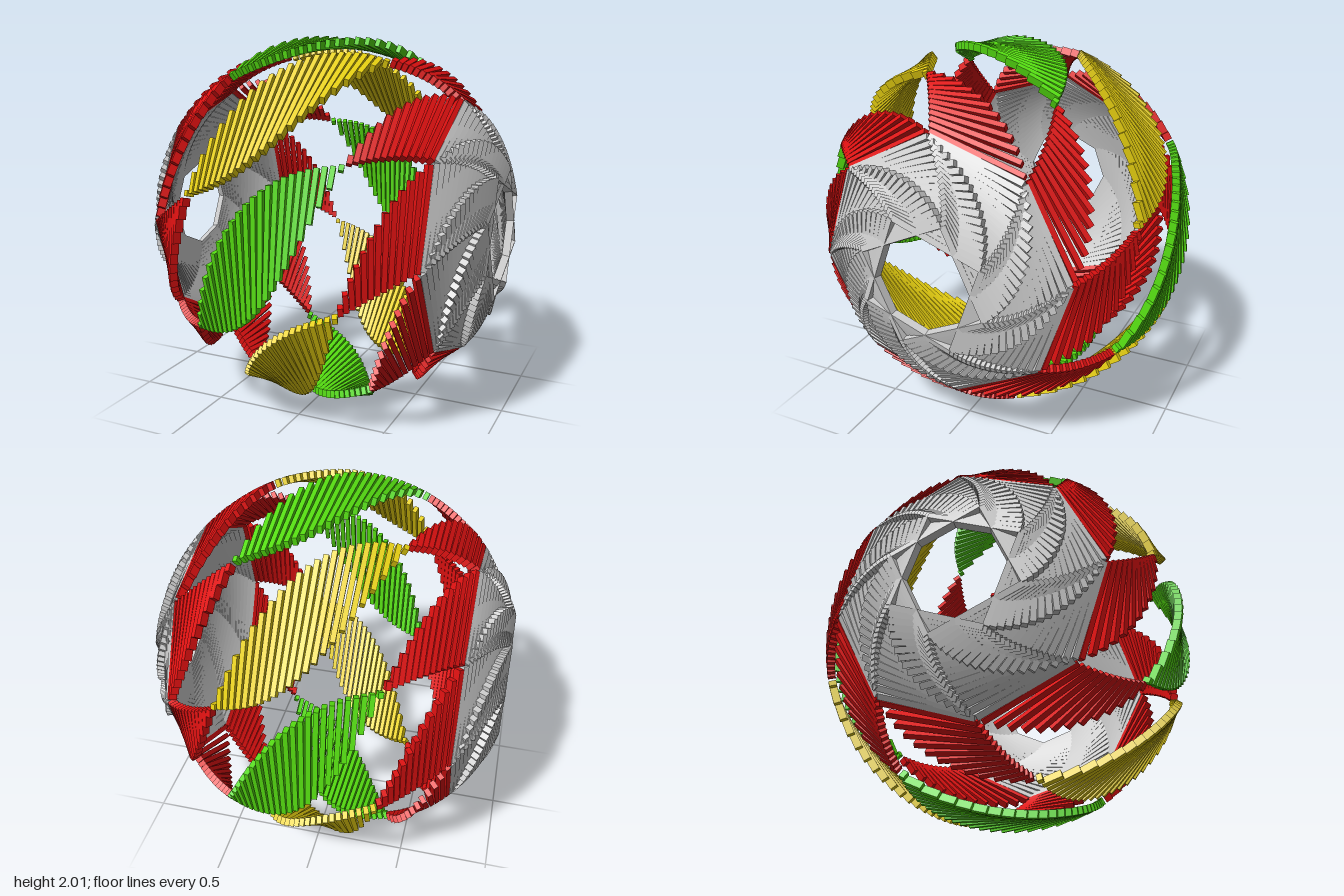
import * as THREE from 'three';
import { mergeGeometries } from 'three/addons/utils/BufferGeometryUtils.js';

const DEG = Math.PI / 180;
const lerp = THREE.MathUtils.lerp;
const THICK = 0.042;

// Point on the unit ball: x along the axis, angle measured from +z towards +y
function onBall(x, deg) {
  const r = Math.sqrt(1 - x * x);
  return new THREE.Vector3(x, r * Math.sin(deg * DEG), r * Math.cos(deg * DEG));
}

// Straight bar between two points, its thickness facing outward
function slat(a, b, width) {
  const along = b.clone().sub(a);
  const length = along.length();
  along.normalize();
  const mid = a.clone().add(b).multiplyScalar(0.5);
  const out = mid.clone().addScaledVector(along, -mid.dot(along)).normalize();
  const side = new THREE.Vector3().crossVectors(along, out);
  const geo = new THREE.BoxGeometry(Math.max(length, 0.03), THICK, width);
  const m = new THREE.Matrix4().makeBasis(along, out, side).setPosition(mid);
  return geo.applyMatrix4(m);
}

// Fan of slats whose ends follow two edge curves
function fan(count, width, ends) {
  const parts = [];
  for (let i = 0; i < count; i++) {
    const [a, b] = ends(i / (count - 1));
    parts.push(slat(a, b, width));
  }
  return mergeGeometries(parts);
}

export function createModel() {
  const model = new THREE.Group();
  const ball = new THREE.Group();
  ball.name = 'slattedBall';
  ball.position.y = 1;
  model.add(ball);

  const mat = (color) => new THREE.MeshStandardMaterial({ color, flatShading: true });
  const green = mat(0x55dd11), yellow = mat(0xe6cf10), red = mat(0xdd1111), grey = mat(0xcccccc);

  // Joint ring (leaf tips) and crown ring (red meets grey)
  const jointX = 0.4, jointA = 29, crownX = 0.73, crownA = 40.5;

  // Equatorial leaf, tilted lens of parallel slats
  const edge = (s) => jointA * s + 16.5 * (1 - s * s) * (1 - 0.3 * s);
  const leafGeo = fan(24, 0.026, (t) => {
    const s = lerp(-0.98, 0.98, t);
    return [onBall(jointX * s, -edge(-s)), onBall(jointX * s, edge(s))];
  });

  // Triangle opening from a joint to the crown ring
  const triangleGeo = fan(13, 0.027, (t) => {
    const u = lerp(0.06, 0.97, t);
    const x = lerp(jointX, crownX, u);
    return [onBall(x, lerp(jointA, crownA, u)), onBall(x, lerp(jointA, crownA + 45, u))];
  });

  // Swirling fan from the crown ring to the octagonal opening
  const crownR = Math.sqrt(1 - crownX * crownX);
  const swirlGeo = fan(18, 0.032, (t) => {
    const r = lerp(crownR - 0.01, 0.355, t);
    const x = Math.sqrt(1 - r * r);
    return [onBall(x, crownA + 25 * t), onBall(x, crownA + 45 + 69 * t)];
  });

  // Eight turns about the x axis; the left half is the right half turned around z
  const halves = [['left', 0], ['right', Math.PI]];
  for (let i = 0; i < 8; i++) {
    const add = (parent, geo, material, name) => {
      const mesh = new THREE.Mesh(geo, material);
      mesh.name = name + (i + 1);
      mesh.rotation.x = i * Math.PI / 4;
      parent.add(mesh);
    };
    add(ball, leafGeo, i % 2 ? yellow : green, 'equatorLeaf');
    for (const [side, turn] of halves) {
      let half = ball.getObjectByName(side + 'Half');
      if (!half) {
        half = new THREE.Group();
        half.name = side + 'Half';
        half.rotation.z = turn;
        ball.add(half);
      }
      add(half, triangleGeo, red, side + 'Triangle');
      add(half, swirlGeo, grey, side + 'Swirl');
    }
  }
  return model;
}
